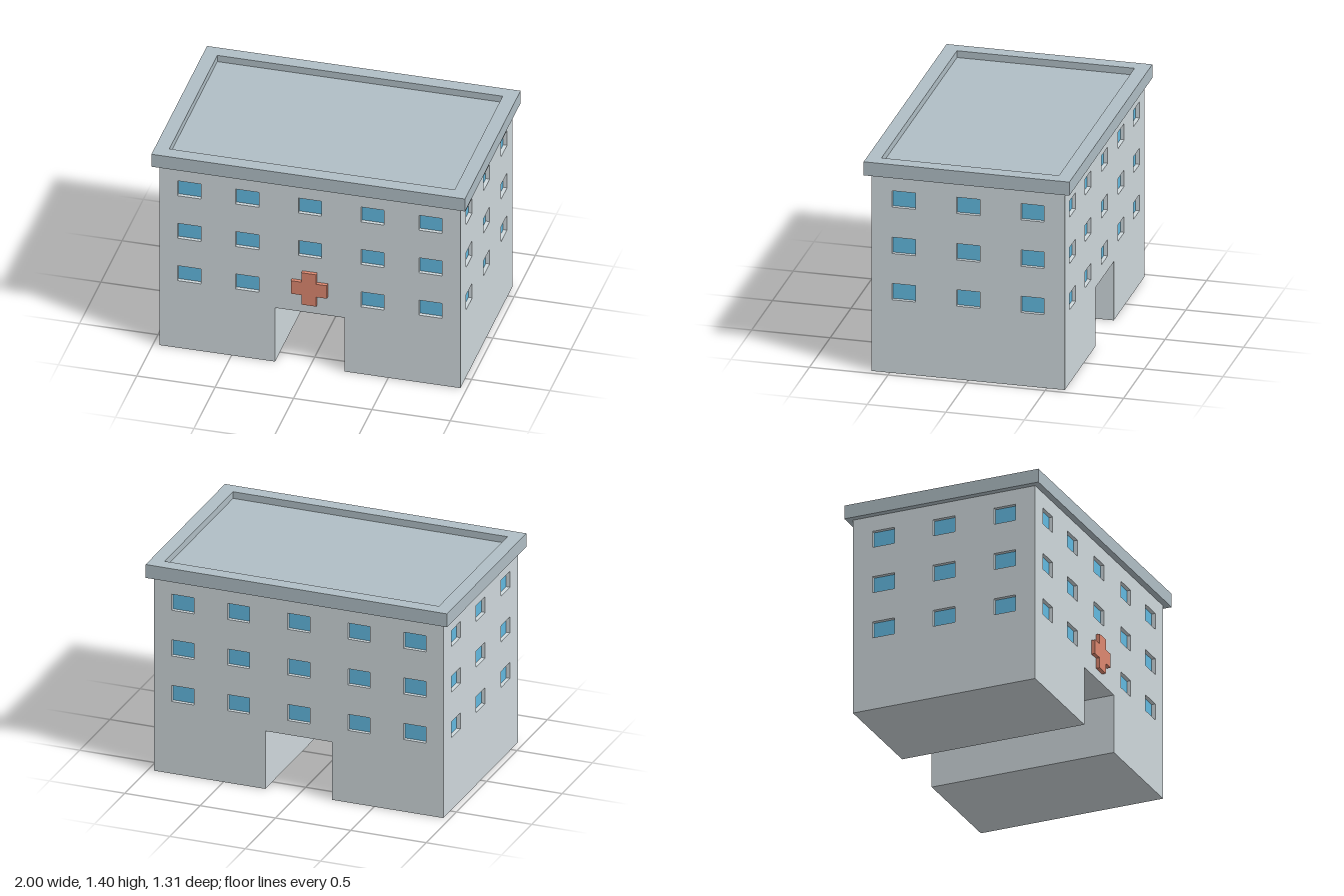
import * as THREE from 'three';

const W = 0.96, D = 0.615, WALL_TOP = 1.31, TOP = 1.4;   // half width, half depth, heights
const DOOR = 0.222, DOOR_TOP = 0.39;                     // passage half width and height
const T = 0.03, PANE = 0.005;                            // wall thickness, glass thickness
const WIN_W = 0.148, WIN_H = 0.108;
const ROWS = [0.54, 0.847, 1.155];

const material = (color) => new THREE.MeshStandardMaterial({ color, flatShading: true });

function polygon(points, Type = THREE.Shape) {
  return new Type(points.map(([x, y]) => new THREE.Vector2(x, y)));
}

function rect(x, y, w, h) {
  return [[x - w / 2, y - h / 2], [x + w / 2, y - h / 2], [x + w / 2, y + h / 2], [x - w / 2, y + h / 2]];
}

// Wall outline, with the passage cut out from below
function archOutline(half) {
  return [[-half, 0], [-DOOR, 0], [-DOOR, DOOR_TOP], [DOOR, DOOR_TOP], [DOOR, 0],
    [half, 0], [half, WALL_TOP], [-half, WALL_TOP]];
}

function extrude(shape, depth) {
  return new THREE.ExtrudeGeometry(shape, { depth, bevelEnabled: false });
}

function addMesh(parent, name, geometry, mat) {
  const mesh = new THREE.Mesh(geometry, mat);
  mesh.name = name;
  parent.add(mesh);
  return mesh;
}

export function createModel() {
  const model = new THREE.Group();
  model.name = 'building';
  const wallMat = material(0xcfd8dc);
  const roofMat = material(0xb0bec5);
  const glassMat = material(0x62b9e0);
  const signMat = material(0xdd8870);

  // Solid core behind the facades
  addMesh(model, 'core', extrude(polygon(archOutline(W - T)), 2 * (D - T)), wallMat)
    .position.z = -(D - T);

  // One facade: pierced wall panel with recessed panes, outer face at local z = distance
  function addFacade(name, outline, columns, distance, angle, skip = () => false) {
    const facade = new THREE.Group();
    facade.name = name;
    facade.rotation.y = angle;
    model.add(facade);
    const shape = polygon(outline);
    ROWS.forEach((y, row) => columns.forEach((x) => {
      if (skip(x, row)) return;
      shape.holes.push(polygon(rect(x, y, WIN_W, WIN_H), THREE.Path));
      addMesh(facade, 'window', new THREE.BoxGeometry(WIN_W, WIN_H, PANE), glassMat)
        .position.set(x, y, distance - T + PANE / 2);
    }));
    addMesh(facade, 'wall', extrude(shape, T), wallMat).position.z = distance - T;
  }

  const longColumns = [-0.77, -0.4, 0, 0.4, 0.77];
  const sideColumns = [-0.41, 0, 0.41];
  const sideOutline = rect(0, WALL_TOP / 2, 2 * (D - T), WALL_TOP);
  addFacade('frontFacade', archOutline(W), longColumns, D, 0, (x, row) => x === 0 && row === 0);
  addFacade('backFacade', archOutline(W), longColumns, D, Math.PI);
  addFacade('leftFacade', sideOutline, sideColumns, W, Math.PI / 2);
  addFacade('rightFacade', sideOutline, sideColumns, W, -Math.PI / 2);

  // Overhanging parapet around a sunken roof deck
  const roofW = 2, roofD = 1.31, innerW = 1.82, innerD = 1.13, deckH = 0.045;
  const ring = polygon(rect(0, 0, roofW, roofD));
  ring.holes.push(polygon(rect(0, 0, innerW, innerD), THREE.Path));
  const parapet = addMesh(model, 'parapet', extrude(ring, TOP - WALL_TOP), roofMat);
  parapet.rotation.x = -Math.PI / 2;
  parapet.position.y = WALL_TOP;
  addMesh(model, 'roofDeck', new THREE.BoxGeometry(innerW, deckH, innerD), roofMat)
    .position.y = WALL_TOP + deckH / 2;

  // Plus-shaped sign above the passage
  const a = 0.115, b = 0.047;
  const plus = polygon([[-b, -a], [b, -a], [b, -b], [a, -b], [a, b], [b, b],
    [b, a], [-b, a], [-b, b], [-a, b], [-a, -b], [-b, -b]]);
  addMesh(model, 'crossSign', extrude(plus, 0.025), signMat).position.set(0, 0.572, D);

  return model;
}
